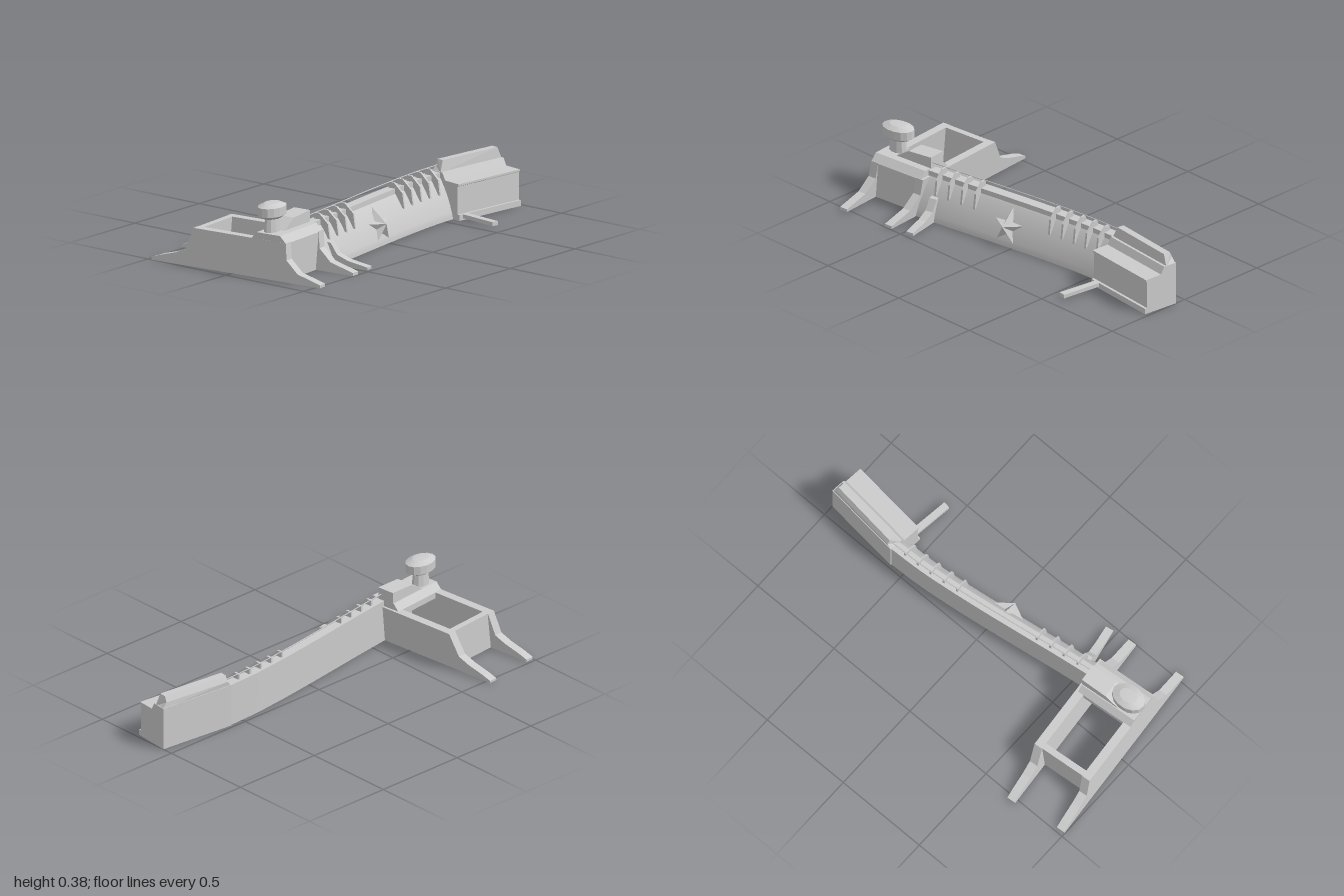
import * as THREE from 'three';
import { toCreasedNormals } from 'three/addons/utils/BufferGeometryUtils.js';

const grey = new THREE.MeshStandardMaterial({ color: 0xcccccc, side: THREE.DoubleSide });
const V = (x, y, z) => new THREE.Vector3(x, y, z);

function add(parent, name, geometry) {
  const mesh = new THREE.Mesh(geometry, grey);
  mesh.name = name;
  parent.add(mesh);
  return mesh;
}

const shapeOf = (pts) => new THREE.Shape(pts.map(([x, y]) => new THREE.Vector2(x, y)));

const slab = (pts, depth, steps = 1) =>
  new THREE.ExtrudeGeometry(shapeOf(pts), { depth, steps, bevelEnabled: false });

// Point on a ground path plus the turn that points local x across it
function frameAt(path, t) {
  const p = path.getPointAt(t), d = path.getTangentAt(t);
  return { p, turn: Math.atan2(-d.x, -d.z) };
}

// Bends an extruded cross-section (offset, height) along a ground path
function sweep(pts, path, steps) {
  const g = slab(pts, 1, steps), pos = g.attributes.position;
  for (let i = 0; i < pos.count; i++) {
    const { p, turn } = frameAt(path, THREE.MathUtils.clamp(1 - pos.getZ(i), 0, 1));
    const u = pos.getX(i);
    pos.setXYZ(i, p.x + u * Math.cos(turn), pos.getY(i), p.z - u * Math.sin(turn));
  }
  return toCreasedNormals(g, 0.5);
}

// Five-pointed faceted star facing +x
function starGeometry(radius, depth) {
  const g = new THREE.ConeGeometry(radius, depth, 10, 1).toNonIndexed();
  const pos = g.attributes.position;
  for (let i = 0; i < pos.count; i++) {
    const x = pos.getX(i), z = pos.getZ(i);
    const k = Math.round(Math.atan2(x, z) / (Math.PI / 5));
    if (Math.abs(k) % 2 === 1) { pos.setX(i, x * 0.42); pos.setZ(i, z * 0.42); }
  }
  g.rotateY(-Math.PI / 2).rotateZ(-Math.PI / 2);
  g.computeVertexNormals();
  return g;
}

// Flared plate leaning back towards its top; reach lengthens its right-hand foot
function plateGeometry(reach) {
  const g = slab([
    [-0.482 - reach, 0], [-0.482 - reach, 0.012], [-0.435 - reach, 0.03], [-0.345 - reach, 0.055],
    [-0.282 - reach, 0.082], [-0.243, 0.193], [0.31, 0.193], [0.32, 0.11], [0.39, 0.05],
    [0.527, 0.015], [0.527, 0]], 0.045);
  const pos = g.attributes.position;
  for (let i = 0; i < pos.count; i++) pos.setZ(i, pos.getZ(i) - 0.1 * pos.getY(i));
  g.computeVertexNormals();
  return g;
}

export function createModel() {
  const model = new THREE.Group();
  model.name = 'dam';

  // Long gently curved wall with a bulging sloped face
  const wallPath = new THREE.CatmullRomCurve3([
    V(0.168, 0, 0.62), V(0.137, 0, 0.4), V(0.106, 0, 0.2), V(0.076, 0, 0),
    V(0.049, 0, -0.2), V(0.028, 0, -0.4), V(0.02, 0, -0.59)]);
  add(model, 'curvedWall', sweep([
    [0, 0], [0, 0.222], [0.054, 0.222], [0.054, 0.195], [0.06, 0.188], [0.084, 0.15],
    [0.106, 0.11], [0.123, 0.07], [0.135, 0.035], [0.142, 0.01], [0.142, 0]], wallPath, 24));

  // Two groups of thin ribs hooked over the crest
  const ribs = new THREE.Group();
  ribs.name = 'crestRibs';
  model.add(ribs);
  for (const z of [0.51, 0.43, 0.35, 0.27, -0.2, -0.28, -0.36, -0.44, -0.52]) {
    const { p, turn } = frameAt(wallPath, (0.62 - z) / 1.22);
    const rib = add(ribs, 'crestRib', slab([
      [0.015, 0.21], [0.015, 0.252], [0.045, 0.252], [0.095, 0.205], [0.106, 0.125], [0.05, 0.15]], 0.011));
    rib.position.copy(p);
    rib.rotation.y = turn;
  }

  // Thin rail carried by the ribs
  const railPoints = [];
  for (let i = 0; i <= 16; i++) {
    const { p, turn } = frameAt(wallPath, i / 16);
    railPoints.push(V(p.x + 0.02 * Math.cos(turn), 0.252, p.z - 0.02 * Math.sin(turn)));
  }
  add(model, 'crestRail', new THREE.TubeGeometry(new THREE.CatmullRomCurve3(railPoints), 32, 0.003, 5));

  // Star leaning on the sloping face
  const star = add(model, 'starRelief', starGeometry(0.102, 0.055));
  star.position.set(0.215, 0.1, 0.047);
  star.rotation.set(0, 0.13, 0.36, 'YXZ');

  // Far block with shelf, ridge and foot ledge
  const blockPath = new THREE.LineCurve3(V(0.015, 0, -0.578), V(0.058, 0, -1));
  add(model, 'farBlock', sweep([
    [0, 0.01], [0, 0.225], [0.075, 0.225], [0.095, 0.188], [0.19, 0.186], [0.19, 0.176],
    [0.183, 0.172], [0.183, 0.01]], blockPath, 1));
  const ridge = sweep([[0.004, 0.22], [0.004, 0.25], [0.018, 0.28], [0.055, 0.28], [0.062, 0.22]], blockPath, 1);
  const rp = ridge.attributes.position;
  for (let i = 0; i < rp.count; i++) {
    if (rp.getY(i) > 0.24) rp.setZ(i, rp.getZ(i) + (rp.getZ(i) < -0.8 ? 0.025 : -0.025));
  }
  ridge.computeVertexNormals();
  add(model, 'farRidge', ridge);
  add(model, 'footLedge', sweep([[0, 0], [0, 0.03], [0.197, 0.03], [0.197, 0]], blockPath, 1));
  const bar = add(model, 'footBar', new THREE.BoxGeometry(0.25, 0.02, 0.036));
  bar.position.set(0.305, 0.02, -0.588);
  bar.rotation.y = -0.13;

  // Low spur beside the wall
  const spur = add(model, 'lowSpur', slab([
    [-0.03, 0], [-0.03, 0.125], [0.025, 0.115], [0.06, 0.06], [0.12, 0.035], [0.23, 0.014], [0.23, 0]], 0.042));
  spur.position.set(0.245, 0, 0.485);
  spur.rotation.y = 0.2;

  // Near end: open chamber between two flared plates
  const nearEnd = new THREE.Group();
  nearEnd.name = 'chamber';
  nearEnd.position.z = 0.953;
  nearEnd.rotation.y = 0.095;
  model.add(nearEnd);
  add(nearEnd, 'frontPlate', plateGeometry(0)).position.z = -0.045;
  add(nearEnd, 'rearPlate', plateGeometry(0.016)).position.z = -0.335;
  add(nearEnd, 'crossWall', slab([
    [-0.245, 0], [-0.241, 0.193], [-0.208, 0.193], [-0.212, 0]], 0.28)).position.z = -0.32;

  // Gate house roof and outer wall
  add(nearEnd, 'gateHouse', slab([
    [0.105, 0.16], [0.105, 0.192], [0.135, 0.226], [0.275, 0.226], [0.31, 0.19], [0.305, 0],
    [0.275, 0], [0.275, 0.16]], 0.32)).position.z = -0.34;
  const roof = add(nearEnd, 'raisedRoof', slab([
    [-0.342, 0.19], [-0.342, 0.285], [-0.2, 0.276], [-0.12, 0.226], [-0.12, 0.19]], 0.095).rotateY(-Math.PI / 2));
  roof.position.x = 0.235;

  // Lookout tower with a faceted oval head
  const tower = new THREE.Group();
  tower.name = 'lookoutTower';
  tower.position.set(0.182, 0, -0.087);
  tower.scale.z = 1.42;
  nearEnd.add(tower);
  const stem = new THREE.CylinderGeometry(0.03, 0.038, 0.1, 10);
  add(tower, 'towerStem', toCreasedNormals(stem, 0.3)).position.y = 0.255;
  const head = new THREE.LatheGeometry([
    [0, 0.293], [0.042, 0.295], [0.063, 0.311], [0.063, 0.356], [0.035, 0.372], [0, 0.376]
  ].map(([r, y]) => new THREE.Vector2(r, y)), 14);
  add(tower, 'towerHead', toCreasedNormals(head, 0.3));

  return model;
}
